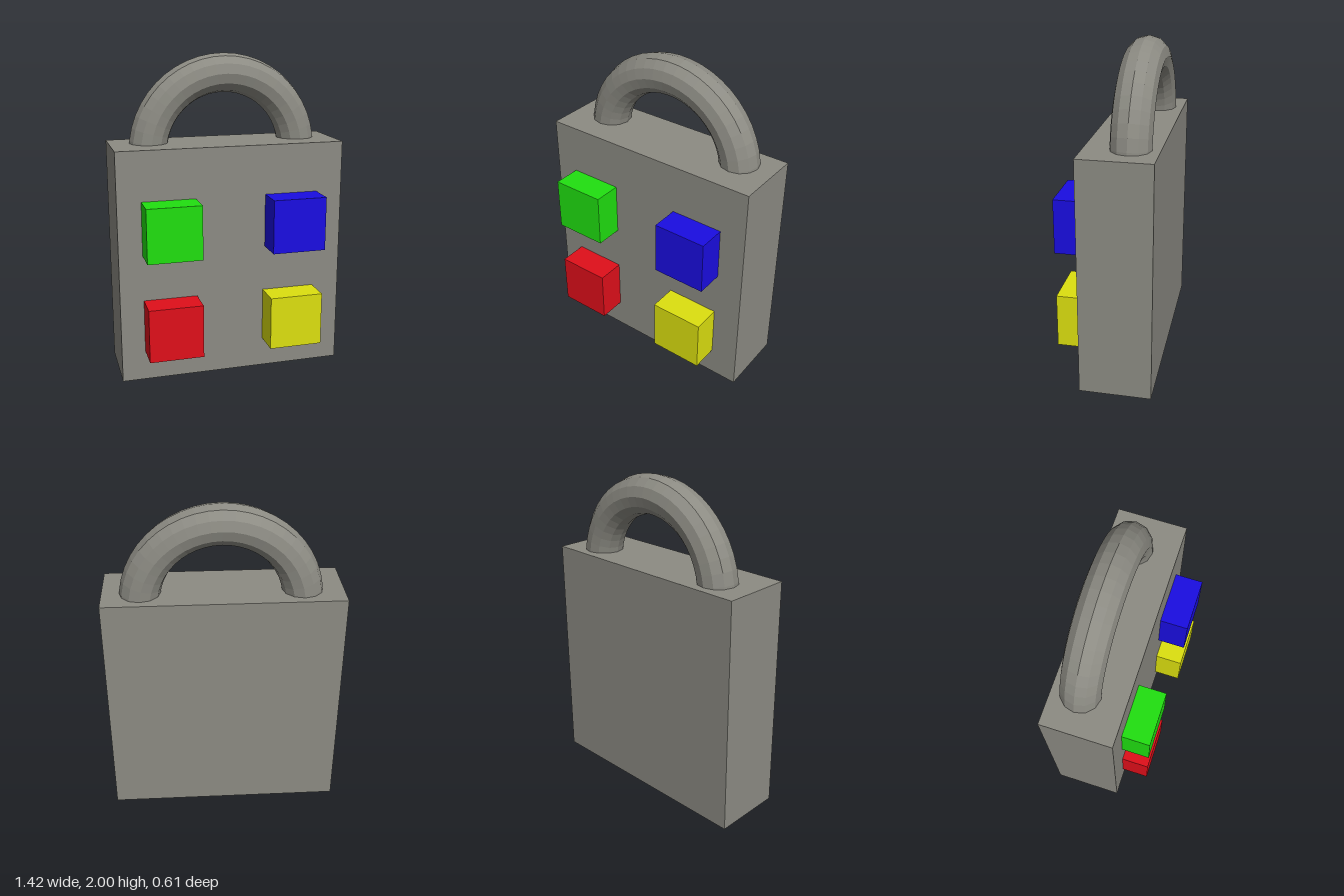
import * as THREE from 'three';

const material = (color) => new THREE.MeshStandardMaterial({ color, flatShading: true });

export function createModel() {
  const model = new THREE.Group();
  model.name = 'padlock';
  const metal = material(0x8c8b83);

  const add = (name, geometry, mat, x, y, z) => {
    const mesh = new THREE.Mesh(geometry, mat);
    mesh.name = name;
    mesh.position.set(x, y, z);
    model.add(mesh);
  };

  // Lock body
  add('body', new THREE.BoxGeometry(1.425, 1.46, 0.435), metal, 0, 0.73, -0.0875);

  // Arched shackle, its ends sunk into the body
  add('shackle', new THREE.TorusGeometry(0.482, 0.12, 12, 24, Math.PI), metal, 0.01, 1.398, -0.137);

  // Four coloured buttons, their backs sunk slightly into the front face
  const buttons = [
    ['greenButton', 0x20e010, -0.398, 0.982],
    ['blueButton', 0x1a0de2, 0.378, 0.982],
    ['redButton', 0xe00f1a, -0.398, 0.357],
    ['yellowButton', 0xdce00f, 0.368, 0.357],
  ];
  for (const [name, color, x, y] of buttons) {
    add(name, new THREE.BoxGeometry(0.336, 0.336, 0.2), material(color), x, y, 0.205);
  }

  return model;
}
